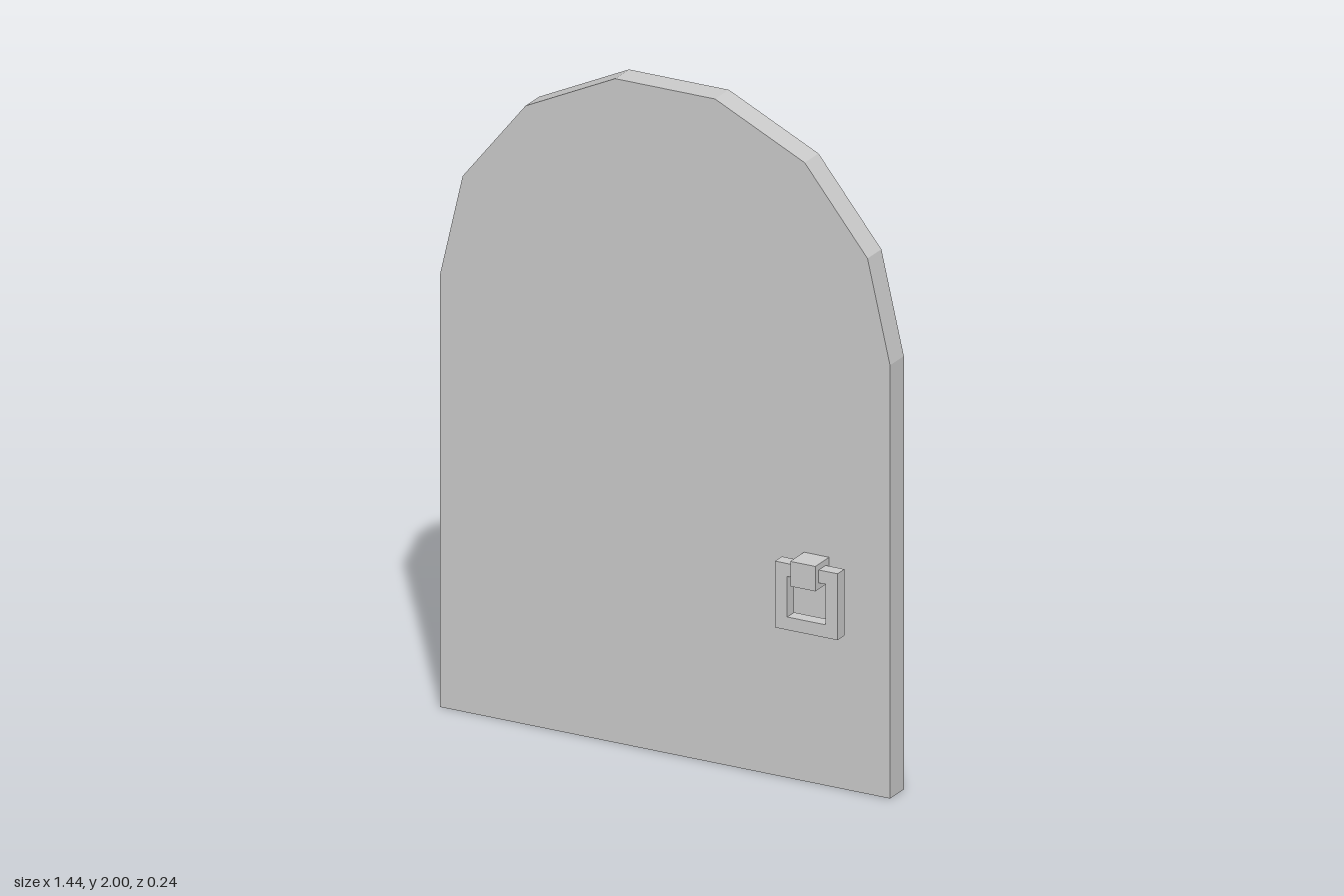
import * as THREE from 'three';

const material = new THREE.MeshStandardMaterial({ color: 0xcccccc, flatShading: true });

// Extrudes a shape to a given depth, centred on z
function slab(name, shape, depth) {
  const geometry = new THREE.ExtrudeGeometry(shape, { depth, bevelEnabled: false });
  geometry.translate(0, 0, -depth / 2);
  const mesh = new THREE.Mesh(geometry, material);
  mesh.name = name;
  return mesh;
}

function square(PathType, half) {
  return new PathType([[-half, -half], [half, -half], [half, half], [-half, half]]
    .map(([x, y]) => new THREE.Vector2(x, y)));
}

export function createModel() {
  const group = new THREE.Group();
  group.name = 'archedDoor';

  // Door panel: one side of the faceted arch, mirrored
  const side = [[0.72, 0], [0.72, 1.305], [0.648, 1.613], [0.447, 1.863], [0.16, 2]];
  const outline = [...side, ...side.map(([x, y]) => [-x, y]).reverse()];
  group.add(slab('doorPanel', new THREE.Shape(outline.map(([x, y]) => new THREE.Vector2(x, y))), 0.08));

  // Square pull ring and its mount on both faces
  for (const [face, s] of [['front', 1], ['back', -1]]) {
    const mount = new THREE.Mesh(new THREE.BoxGeometry(0.08, 0.075, 0.08), material);
    mount.name = face + 'RingMount';
    mount.position.set(0.485, 0.652, s * 0.08);

    const shape = square(THREE.Shape, 0.1);
    shape.holes.push(square(THREE.Path, 0.061));
    const ring = slab(face + 'PullRing', shape, 0.04);
    ring.position.set(0.485, 0.572, s * 0.08);
    group.add(mount, ring);
  }
  return group;
}
